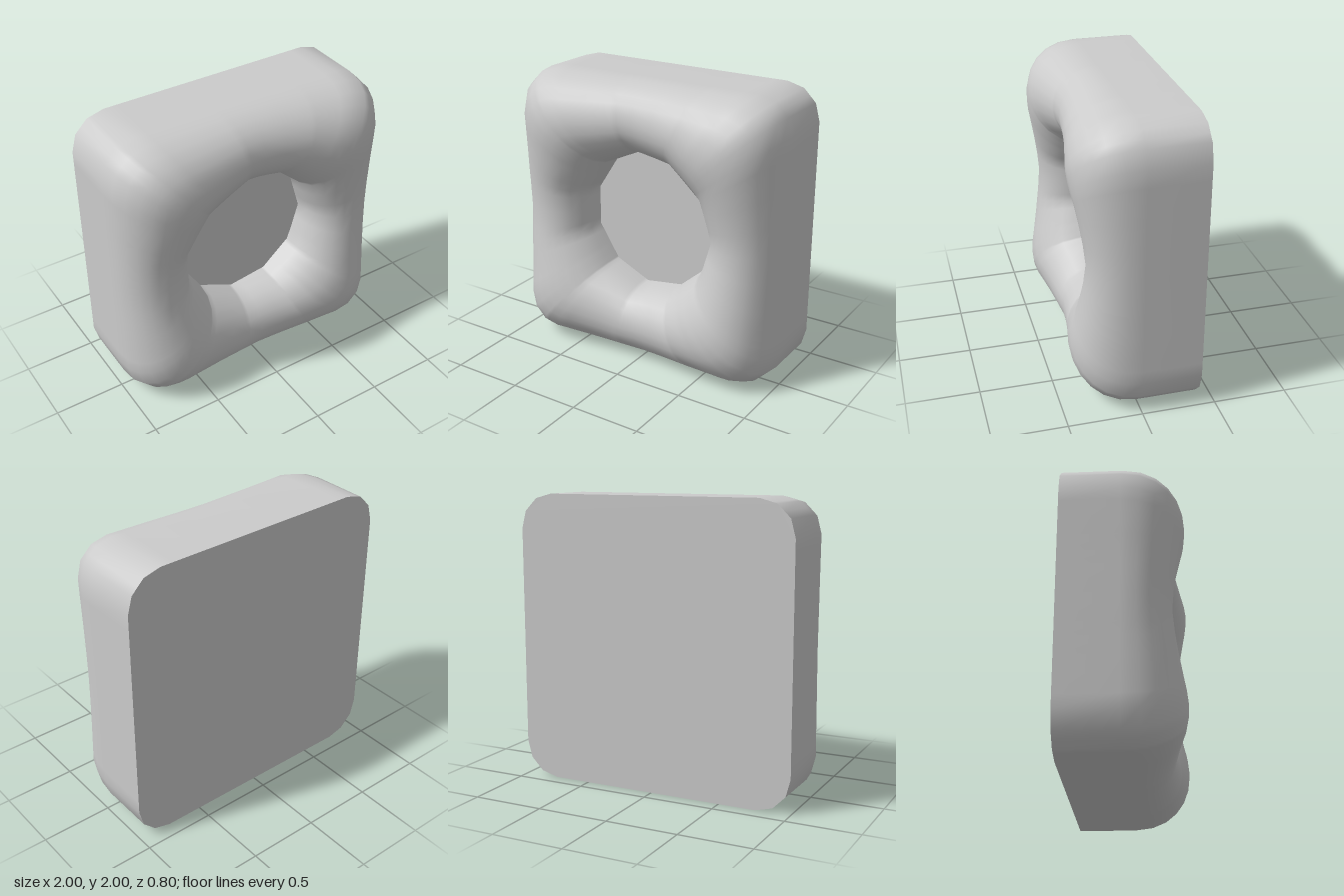
import * as THREE from 'three';

const BACK = -0.4, HOLE = 0.5, HOLE_SIDES = 11, CORNER = 0.24, STEPS = 12;

// Outline of the body: a square with three-segment rounded corners
function outerOutline() {
  const pts = [];
  for (let q = 0; q < 4; q++) {
    for (let k = 0; k <= 3; k++) {
      const a = (q + k / 3) * Math.PI / 2, mid = (q + 0.5) * Math.PI / 2;
      pts.push(new THREE.Vector2(
        Math.sign(Math.cos(mid)) * (1 - CORNER) + CORNER * Math.cos(a),
        Math.sign(Math.sin(mid)) * (1 - CORNER) + CORNER * Math.sin(a)));
    }
  }
  return pts;
}

// Outline of the central opening
function holeOutline() {
  return Array.from({ length: HOLE_SIDES }, (_, i) => {
    const a = i / HOLE_SIDES * Math.PI * 2;
    return new THREE.Vector2(HOLE * Math.cos(a), HOLE * Math.sin(a));
  });
}

// Distance from the centre to a convex outline along an angle
function radiusAt(pts, a) {
  let r = Infinity;
  pts.forEach((p, i) => {
    const q = pts[(i + 1) % pts.length];
    const nx = q.y - p.y, ny = p.x - q.x;
    const facing = nx * Math.cos(a) + ny * Math.sin(a);
    if (facing > 1e-9) r = Math.min(r, (nx * p.x + ny * p.y) / facing);
  });
  return r;
}

// Side walls and puffed frame, as loops running from the back edge to the opening
function frameGeometry(outer, hole) {
  const raw = [...outer, ...hole].map(p => (p.angle() + 1e-6) % (Math.PI * 2));
  for (let i = 0; i < 32; i++) raw.push((i + 0.001) / 32 * Math.PI * 2);
  const angles = raw.sort((a, b) => a - b).filter((a, i, all) => i === 0 || a - all[i - 1] > 0.02);
  const n = angles.length, pos = [], index = [];

  for (let row = -1; row <= STEPS; row++) {
    const t = Math.max(row, 0) / STEPS;
    for (const a of angles) {
      const ro = radiusAt(outer, a), ri = radiusAt(hole, a);
      // the puff is taller where the frame is wider, toward the corners
      const wide = THREE.MathUtils.clamp((ro - 0.5) / 0.315 - 0.5 / 0.315, 0, 1);
      const height = 0.31 + 0.09 * Math.pow(wide, 0.7);
      const r = ro + (ri - ro) * t * t * (3 - 2 * t);
      pos.push(r * Math.cos(a), r * Math.sin(a), row < 0 ? BACK : 4 * height * t * (1 - t));
    }
  }
  for (let i = 0; i <= STEPS; i++) {
    for (let j = 0; j < n; j++) {
      const k = (j + 1) % n;
      const a = i * n + j, b = i * n + k, c = a + n, d = b + n;
      index.push(a, b, c, b, d, c);
    }
  }
  const geo = new THREE.BufferGeometry();
  geo.setAttribute('position', new THREE.Float32BufferAttribute(pos, 3));
  geo.setIndex(index);
  geo.computeVertexNormals();
  return geo;
}

export function createModel() {
  const group = new THREE.Group();
  group.name = 'cushionedFrameTile';
  const material = new THREE.MeshStandardMaterial({ color: 0xcccccc });
  const add = (name, geo) => {
    const mesh = new THREE.Mesh(geo, material);
    mesh.name = name;
    mesh.position.y = 1;
    group.add(mesh);
  };

  const outer = outerOutline();
  add('puffedFrame', frameGeometry(outer, holeOutline()));
  // Flat floor of the opening
  add('recessFloor', new THREE.CircleGeometry(HOLE, HOLE_SIDES));
  // Flat back
  add('backPanel', new THREE.ShapeGeometry(new THREE.Shape(outer)).rotateY(Math.PI).translate(0, 0, BACK));
  return group;
}
